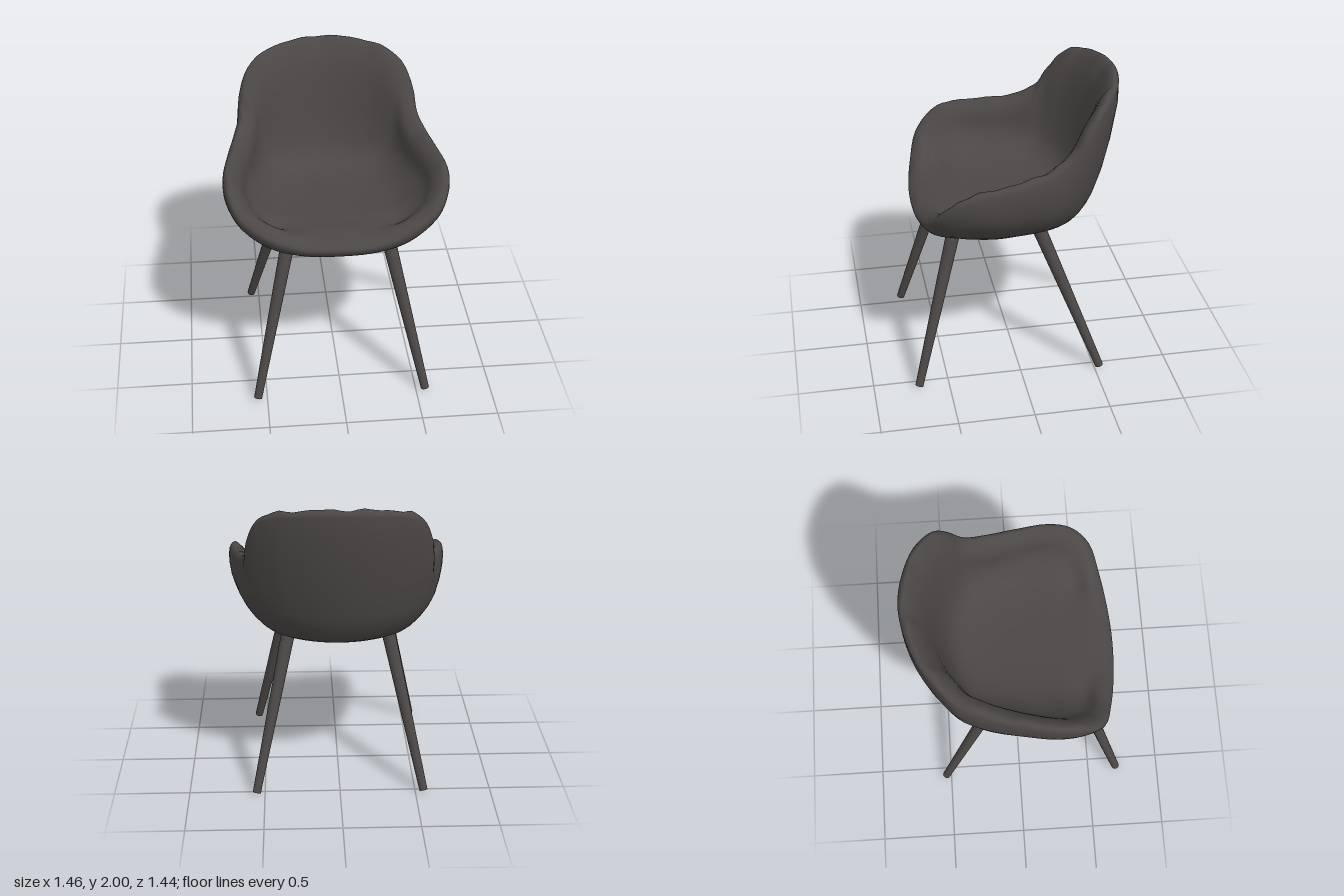
import * as THREE from 'three';
import { mergeVertices } from 'three/addons/utils/BufferGeometryUtils.js';

const V = (x, y, z) => new THREE.Vector3(x, y, z);

// closed, left-right symmetrical loop from its half, front centre to back centre
function mirroredLoop(half) {
  const left = half.map((p) => V(...p));
  const right = left.slice(1, -1).reverse().map((p) => V(-p.x, p.y, p.z));
  return new THREE.CatmullRomCurve3([...left, ...right], true);
}

// outer edge of the rim: low front lip, arms, high back
const rim = mirroredLoop([
  [0, 1.1, 0.655], [0.25, 1.11, 0.64], [0.47, 1.18, 0.6], [0.64, 1.3, 0.54],
  [0.71, 1.415, 0.42], [0.725, 1.46, 0.27], [0.69, 1.48, 0.03], [0.645, 1.515, -0.16],
  [0.605, 1.585, -0.3], [0.59, 1.71, -0.4], [0.53, 1.85, -0.495], [0.4, 1.92, -0.605],
  [0.2, 1.95, -0.685], [0, 1.96, -0.715],
]);

// widest line of the bowl below the rim
const belly = mirroredLoop([
  [0, 1.045, 0.62], [0.25, 1.05, 0.6], [0.45, 1.09, 0.555], [0.61, 1.18, 0.48],
  [0.685, 1.25, 0.37], [0.695, 1.25, 0.2], [0.665, 1.25, 0.01], [0.635, 1.25, -0.14],
  [0.6, 1.25, -0.25], [0.54, 1.25, -0.36], [0.45, 1.25, -0.44], [0.32, 1.25, -0.51],
  [0.16, 1.25, -0.56], [0, 1.25, -0.575],
]);

// padded shell: one profile per station, from underside over the rim to the seat
function shellGeometry() {
  const around = 104, along = 40, bottom = 0.985;
  const positions = [], index = [];
  for (let i = 0; i < around; i++) {
    const t = i / around, a = t * Math.PI * 2;
    const r = rim.getPoint(t), b = belly.getPoint(t);
    const rise = r.y - 1.1;
    // slightly uneven upholstered edge
    const wobble = 0.005 * Math.sin(a * 17 + 1) + 0.004 * Math.sin(a * 29);
    const inward = (p, d, y) => {
      const k = 1 - d / Math.hypot(p.x, p.z);
      return V(p.x * k, y, p.z * k);
    };
    const scaled = (k, y) => V(b.x * k, y, b.z * k);
    const profile = new THREE.CatmullRomCurve3([
      V(0, bottom, 0),
      scaled(0.4, bottom + 0.002),
      scaled(0.74 - 0.06 * b.z, bottom + (b.y - bottom) * 0.24),
      b,
      r,
      inward(r, 0.035 + wobble, r.y + 0.037 + wobble),
      // the inner padding drops further below the edge where the rim is high
      inward(r, 0.095 + 0.05 * rise, r.y + 0.055 - 0.2 * rise),
      inward(b, 0.14, Math.max(b.y + 0.06, 1.165)),
      scaled(0.6, 1.16 + (b.y - 1.045) * 0.18),
      scaled(0.3, 1.155),
      V(0, 1.15, 0),
    ]);
    for (let j = 0; j <= along; j++) {
      positions.push(...profile.getPoint(j / along).toArray());
      if (j === along) continue;
      const p = i * (along + 1) + j, q = ((i + 1) % around) * (along + 1) + j;
      index.push(p, q, q + 1, p, q + 1, p + 1);
    }
  }
  const g = new THREE.BufferGeometry();
  g.setAttribute('position', new THREE.Float32BufferAttribute(positions, 3));
  g.setIndex(index);
  const merged = mergeVertices(g, 1e-5);
  merged.computeVertexNormals();
  return merged;
}

// tapered leg between two points
function leg(name, top, foot, material) {
  const dir = top.clone().sub(foot);
  const mesh = new THREE.Mesh(new THREE.CylinderGeometry(0.046, 0.027, dir.length(), 16), material);
  mesh.position.copy(top).add(foot).multiplyScalar(0.5);
  mesh.quaternion.setFromUnitVectors(V(0, 1, 0), dir.normalize());
  mesh.name = name;
  return mesh;
}

export function createModel() {
  const group = new THREE.Group();
  group.name = 'chair';
  const charcoal = new THREE.MeshStandardMaterial({ color: 0x4b4746 });
  charcoal.name = 'charcoal';

  const shell = new THREE.Mesh(shellGeometry(), charcoal);
  shell.name = 'seatShell';
  group.add(shell);

  for (const [side, s] of [['Left', 1], ['Right', -1]]) {
    group.add(leg('front' + side + 'Leg', V(s * 0.327, 1.035, 0.415), V(s * 0.562, 0.008, 0.7), charcoal));
    group.add(leg('back' + side + 'Leg', V(s * 0.327, 1.025, -0.14), V(s * 0.555, 0.01, -0.535), charcoal));
  }
  return group;
}
